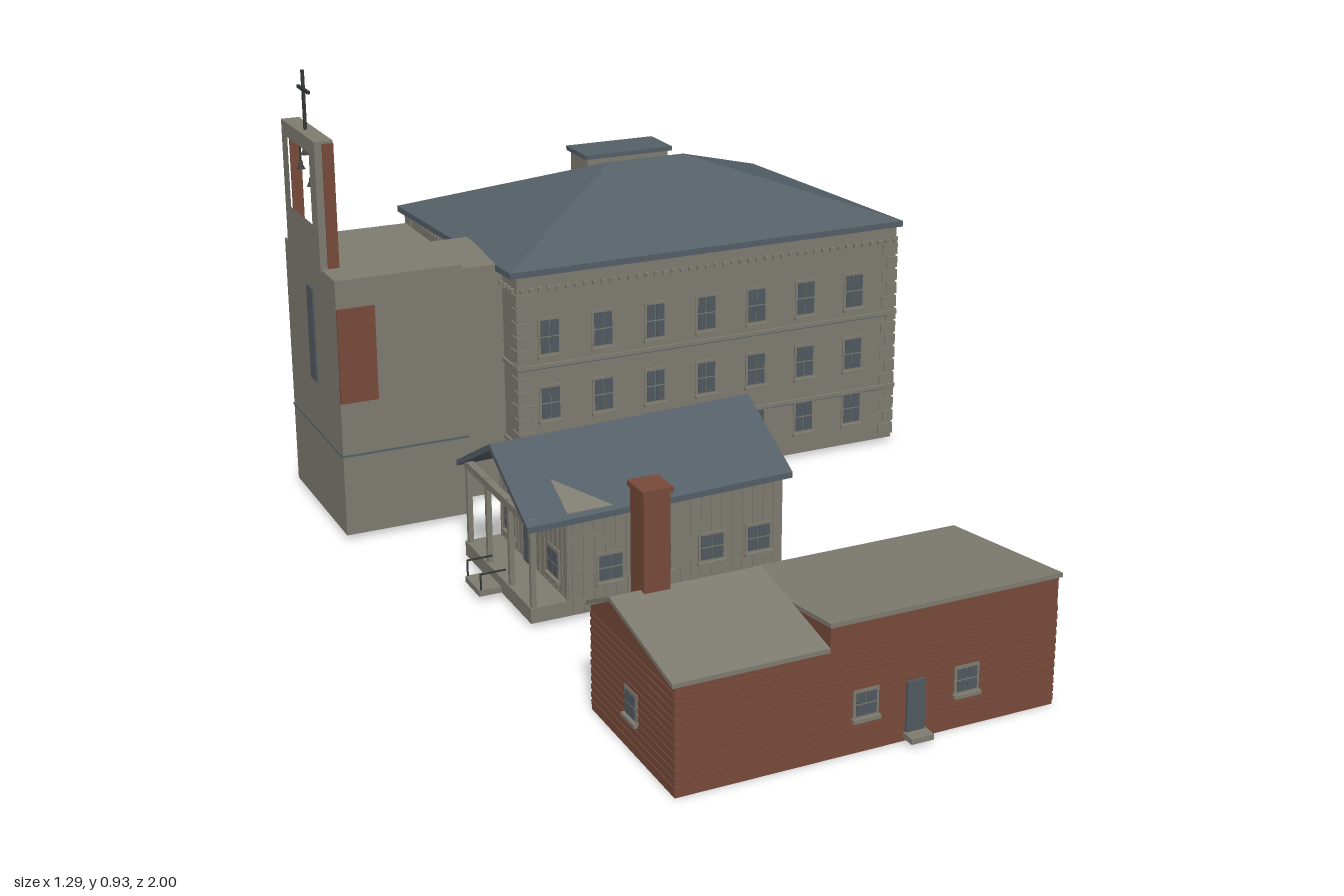
import * as THREE from 'three';
import { ConvexGeometry } from 'three/addons/geometries/ConvexGeometry.js';

const mat = (name, color) => {
  const m = new THREE.MeshStandardMaterial({ color });
  m.name = name;
  return m;
};

export function createModel() {
  const stone = mat('stone', 0x7f7c71);
  const slate = mat('slate', 0x545f67);
  const brick = mat('brick', 0x784a39);
  const iron = mat('dark iron', 0x35383a);
  const glass = mat('window glass', 0x515a60);
  const model = new THREE.Group();

  const group = (name, parent = model) => {
    const g = new THREE.Group();
    g.name = name;
    parent.add(g);
    return g;
  };
  const add = (parent, name, geo, m) => {
    const mesh = new THREE.Mesh(geo, m);
    mesh.name = name;
    parent.add(mesh);
    return mesh;
  };
  // box given by its limits on each axis
  const box = (parent, name, m, x0, x1, y0, y1, z0, z1) => {
    const mesh = add(parent, name, new THREE.BoxGeometry(x1 - x0, y1 - y0, z1 - z0), m);
    mesh.position.set((x0 + x1) / 2, (y0 + y1) / 2, (z0 + z1) / 2);
    return mesh;
  };
  // solid with a [z, y] outline, running from x0 to x1
  const prism = (parent, name, m, outline, x0, x1, hole) => {
    const toPoints = (list) => list.map(([z, y]) => new THREE.Vector2(-z, y));
    const shape = new THREE.Shape(toPoints(outline));
    if (hole) shape.holes.push(new THREE.Path(toPoints(hole)));
    const geo = new THREE.ExtrudeGeometry(shape, { depth: x1 - x0, bevelEnabled: false });
    geo.rotateY(Math.PI / 2).translate(x0, 0, 0);
    return add(parent, name, geo, m);
  };
  // wall frame: local x runs along the wall, local z points outward
  const facade = (parent, name, side, offset) => {
    const g = group(name, parent);
    const turn = { front: 0, back: Math.PI, plusX: Math.PI / 2, minusX: -Math.PI / 2 }[side];
    g.rotation.y = turn;
    g.position.set(Math.sin(turn) * offset, 0, Math.cos(turn) * offset);
    return g;
  };
  // four panes on a thin surround, with a sill
  const windowAt = (wall, u, y, w, h) => {
    const g = group('window', wall);
    box(g, 'surround', stone, u - w / 2 - 0.004, u + w / 2 + 0.004, y - h / 2 - 0.004, y + h / 2 + 0.004, -0.003, 0.003);
    for (const i of [-1, 1]) for (const j of [-1, 1]) {
      const cx = u + i * w / 4, cy = y + j * h / 4, a = w / 4 - 0.001, b = h / 4 - 0.0015;
      box(g, 'pane', glass, cx - a, cx + a, cy - b, cy + b, 0, 0.005);
    }
    box(g, 'sill', stone, u - w / 2 - 0.006, u + w / 2 + 0.006, y - h / 2 - 0.01, y - h / 2 - 0.003, -0.003, 0.009);
  };

  // ---- Main hall ----
  const hall = group('mainHall');
  prism(hall, 'hallWalls', stone, [[-0.22, 0.01], [-0.22, 0.507], [-0.905, 0.478], [-0.905, 0.01]], -0.265, 0.63);
  const corners = [];
  for (const x of [-0.28, 0.643]) {
    for (const [z, y] of [[-0.215, 0.515], [-0.923, 0.486]]) {
      corners.push(new THREE.Vector3(x, y, z), new THREE.Vector3(x, y - 0.013, z));
    }
  }
  corners.push(new THREE.Vector3(0.08, 0.638, -0.53), new THREE.Vector3(0.26, 0.638, -0.53));
  add(hall, 'hipRoof', new ConvexGeometry(corners), slate);

  const rows = [[0.37, 0.074], [0.225, 0.07], [0.097, 0.068]];
  const columns = [-0.196, -0.076, 0.044, 0.164, 0.284, 0.404, 0.525];
  const sideColumns = [0.297, 0.415, 0.535, 0.652, 0.77, 0.862];
  const walls = [
    ['front', -0.22, columns, -0.265, 0.63],
    ['back', 0.905, columns.map((x) => -x), -0.63, 0.265],
    ['plusX', 0.63, sideColumns, 0.22, 0.905],
    ['minusX', 0.265, sideColumns.map((z) => -z), -0.905, -0.22],
  ];
  const hallSides = {};
  for (const [side, offset, us, u0, u1] of walls) {
    const wall = hallSides[side] = facade(hall, side + 'Facade', side, offset);
    us.forEach((u, i) => rows.forEach(([y, h], r) => {
      const central = side === 'back' && i === 3 && r > 0;
      const behindLink = side === 'minusX' && u > -0.54 && u < -0.29;
      if (!central && !behindLink) windowAt(wall, u, y, 0.042, h);
    }));
    // string courses with a dark shadow joint, and a dentil cornice
    for (const y of [0.135, 0.307]) {
      box(wall, 'stringCourse', stone, u0 - 0.004, u1 + 0.004, y - 0.004, y + 0.004, -0.004, 0.005);
      box(wall, 'courseJoint', slate, u0 - 0.002, u1 + 0.002, y - 0.0065, y - 0.004, -0.003, 0.003);
    }
    for (let u = u0 + 0.01; u < u1; u += 0.02) {
      box(wall, 'dentil', stone, u - 0.004, u + 0.004, 0.468, 0.477, -0.003, 0.008);
    }
    // corner quoins
    for (let k = 0; k < 15; k++) {
      const y = 0.02 + k * 0.03, len = k % 2 ? 0.022 : 0.034;
      box(wall, 'quoin', stone, u0 - 0.003, u0 + len, y, y + 0.025, -0.002, 0.003);
      box(wall, 'quoin', stone, u1 - len, u1 + 0.003, y, y + 0.025, -0.002, 0.003);
    }
  }

  // entrance composition in the middle of the rear wall
  const portal = group('portal', hallSides.back);
  portal.position.x = -0.18;
  box(portal, 'portalBase', stone, -0.24, 0.24, 0.13, 0.148, 0, 0.018);
  box(portal, 'entablature', stone, -0.24, 0.24, 0.295, 0.315, 0, 0.016);
  box(portal, 'portalCornice', slate, -0.246, 0.246, 0.315, 0.321, 0, 0.021);
  for (const u of [-0.22, -0.08, 0.08, 0.22]) {
    const shaft = add(portal, 'portalColumn', new THREE.CylinderGeometry(0.008, 0.009, 0.148, 12), stone);
    shaft.position.set(u, 0.222, 0.008);
    for (const y of [0.148, 0.286]) box(portal, 'columnBlock', stone, u - 0.012, u + 0.012, y, y + 0.01, 0, 0.017);
  }
  const arch = (w, y0, y1) => {
    const s = new THREE.Shape();
    s.moveTo(-w, y0).lineTo(w, y0).lineTo(w, y1);
    s.absarc(0, y1, w, 0, Math.PI, false);
    return s;
  };
  const archGeo = (w, y0, y1, depth) => new THREE.ExtrudeGeometry(arch(w, y0, y1), { depth, bevelEnabled: false });
  add(portal, 'archSurround', archGeo(0.036, 0.16, 0.235, 0.004), stone);
  add(portal, 'archWindow', archGeo(0.028, 0.168, 0.235, 0.007), glass);
  box(portal, 'doorSurround', stone, -0.036, 0.036, 0.01, 0.124, 0, 0.008);
  box(portal, 'door', brick, -0.024, 0.024, 0.025, 0.11, 0, 0.012);
  box(portal, 'lowerStep', stone, -0.05, 0.05, 0.01, 0.022, 0, 0.094);
  box(portal, 'upperStep', stone, -0.04, 0.04, 0.01, 0.032, 0, 0.03);

  // roof lantern on the rear slope
  box(hall, 'lanternWalls', stone, 0.083, 0.282, 0.52, 0.616, -0.752, -0.658);
  box(hall, 'lanternRoof', slate, 0.075, 0.29, 0.616, 0.626, -0.76, -0.65);
  for (let i = 0; i < 5; i++) {
    box(hall, 'lanternPane', glass, 0.1 + i * 0.036, 0.122 + i * 0.036, 0.575, 0.608, -0.755, -0.751);
  }

  // ---- Link and bell tower ----
  const tower = group('bellTower');
  box(tower, 'link', stone, -0.385, -0.26, 0.01, 0.512, -0.52, -0.3);
  box(tower, 'linkBrickFace', brick, -0.38, -0.266, 0.06, 0.508, -0.524, -0.519);
  box(tower, 'towerBody', stone, -0.643, -0.38, 0.01, 0.546, -0.565, -0.22);
  box(tower, 'towerBand', slate, -0.645, -0.378, 0.178, 0.182, -0.567, -0.218);
  box(tower, 'towerBrickPanel', brick, -0.643, -0.565, 0.292, 0.488, -0.222, -0.216);
  box(tower, 'towerSlit', glass, -0.647, -0.64, 0.29, 0.49, -0.41, -0.37);
  prism(tower, 'bellFrame', stone, [[-0.305, 0.54], [-0.305, 0.805], [-0.535, 0.805], [-0.535, 0.54]], -0.645, -0.607,
    [[-0.345, 0.63], [-0.345, 0.775], [-0.495, 0.775], [-0.495, 0.63]]);
  box(tower, 'frameBrickFront', brick, -0.63, -0.607, 0.547, 0.8, -0.306, -0.302);
  box(tower, 'frameBrickBack', brick, -0.63, -0.607, 0.547, 0.8, -0.538, -0.534);
  box(tower, 'crossUpright', iron, -0.631, -0.625, 0.8, 0.925, -0.423, -0.417);
  box(tower, 'crossArm', iron, -0.631, -0.625, 0.883, 0.889, -0.457, -0.383);
  const bellProfile = [[0, 0.018], [0.004, 0.017], [0.005, 0.008], [0.009, 0]].map(([r, y]) => new THREE.Vector2(r, y));
  const bellGeo = new THREE.LatheGeometry(bellProfile.reverse(), 12);
  const bellMat = mat('bell metal', 0x45433f);
  bellMat.side = THREE.DoubleSide;
  for (const [z, y] of [[-0.368, 0.722], [-0.405, 0.692], [-0.438, 0.75], [-0.474, 0.712]]) {
    add(tower, 'bell', bellGeo, bellMat).position.set(-0.626, y, z);
    box(tower, 'bellRod', iron, -0.6275, -0.6245, y + 0.016, 0.777, z - 0.0015, z + 0.0015);
  }

  // ---- Gabled house with end porch ----
  const house = group('gabledHouse');
  prism(house, 'houseWalls', stone, [[-0.028, 0.01], [0.315, 0.01], [0.315, 0.216], [0.143, 0.302], [-0.028, 0.216]], -0.385, 0.062);
  const roof = prism(house, 'houseRoof', slate,
    [[-0.045, 0.213], [0.14, 0.311], [0.325, 0.213], [0.325, 0.201], [0.14, 0.298], [-0.045, 0.201]], -0.467, 0.078);
  const p = roof.geometry.attributes.position;
  for (let i = 0; i < p.count; i++) p.setY(i, p.getY(i) + 0.025 * (p.getX(i) + 0.2));
  roof.geometry.computeVertexNormals();
  box(house, 'porchFloor', stone, -0.46, -0.38, 0.01, 0.04, -0.028, 0.315);
  for (const z of [-0.02, 0.085, 0.2, 0.307]) {
    box(house, 'porchPost', stone, -0.457, -0.447, 0.035, 0.215, z - 0.005, z + 0.005);
  }
  box(house, 'porchBeam', stone, -0.459, -0.445, 0.197, 0.212, -0.028, 0.315);
  box(house, 'porchStep', stone, -0.505, -0.46, 0.01, 0.022, 0.09, 0.165);
  for (const z of [0.092, 0.163]) {
    box(house, 'stepRailPost', iron, -0.502, -0.499, 0.015, 0.055, z - 0.0015, z + 0.0015);
    box(house, 'stepRail', iron, -0.502, -0.45, 0.053, 0.056, z - 0.0015, z + 0.0015);
  }
  const houseWalls = [
    ['front', 0.315, [-0.3, -0.2, -0.09, 0.01], -0.385, 0.062],
    ['back', 0.028, [0.3, 0.2, 0.09, -0.01], -0.062, 0.385],
    ['plusX', 0.062, [-0.25, -0.12], -0.315, 0.028],
    ['minusX', 0.385, [0.03, 0.25], -0.028, 0.315],
  ];
  for (const [side, offset, us, u0, u1] of houseWalls) {
    const wall = facade(house, side + 'HouseWall', side, offset);
    us.forEach((u) => windowAt(wall, u, 0.095, 0.048, 0.052));
    for (let u = u0 + 0.01; u < u1; u += 0.022) {
      box(wall, 'batten', stone, u - 0.0015, u + 0.0015, 0.012, 0.212, -0.001, 0.002);
    }
    if (side === 'minusX') box(wall, 'porchDoor', glass, 0.105, 0.15, 0.04, 0.15, -0.002, 0.005);
  }

  // ---- Brick workshop: gabled left bay, single slope to the right ----
  const shop = group('brickWorkshop');
  const bay = [[0.97, 0.195], [0.735, 0.242], [0.645, 0.195]];
  const slope = [[0.97, 0.238], [0.645, 0.195]];
  const roofOver = (line) => [...line, ...line.slice().reverse().map(([z, y]) => [z, y + 0.008])];
  prism(shop, 'bayWalls', brick, [[0.645, 0], [0.97, 0], ...bay], -0.482, -0.205);
  prism(shop, 'rightWalls', brick, [[0.645, 0], [0.97, 0], ...slope], -0.205, 0.235);
  prism(shop, 'bayRoof', stone, roofOver([[0.974, 0.195], [0.735, 0.242], [0.64, 0.195]]), -0.488, -0.207);
  prism(shop, 'rightRoof', stone, roofOver([[0.974, 0.238], [0.64, 0.194]]), -0.207, 0.24);
  box(shop, 'chimney', brick, -0.43, -0.382, 0.18, 0.42, 0.694, 0.747);
  box(shop, 'chimneyCap', brick, -0.434, -0.378, 0.42, 0.43, 0.69, 0.751);
  const shopWalls = [
    ['front', 0.97, [-0.137, 0.057], -0.482, 0.235],
    ['back', -0.645, [], -0.235, 0.482],
    ['plusX', 0.235, [], -0.97, -0.645],
    ['minusX', 0.482, [0.81], 0.645, 0.97],
  ];
  for (const [side, offset, us, u0, u1] of shopWalls) {
    const wall = facade(shop, side + 'ShopWall', side, offset);
    us.forEach((u) => windowAt(wall, u, 0.09, 0.04, 0.044));
    // raised brick courses
    for (let y = 0.01; y < 0.19; y += 0.015) box(wall, 'brickCourse', brick, u0, u1, y, y + 0.009, -0.001, 0.0015);
    if (side === 'front') {
      box(wall, 'shopDoor', glass, -0.06, -0.025, 0.018, 0.11, -0.002, 0.006);
      box(wall, 'doorStep', stone, -0.064, -0.021, 0.008, 0.018, 0, 0.03);
    }
  }
  return model;
}
